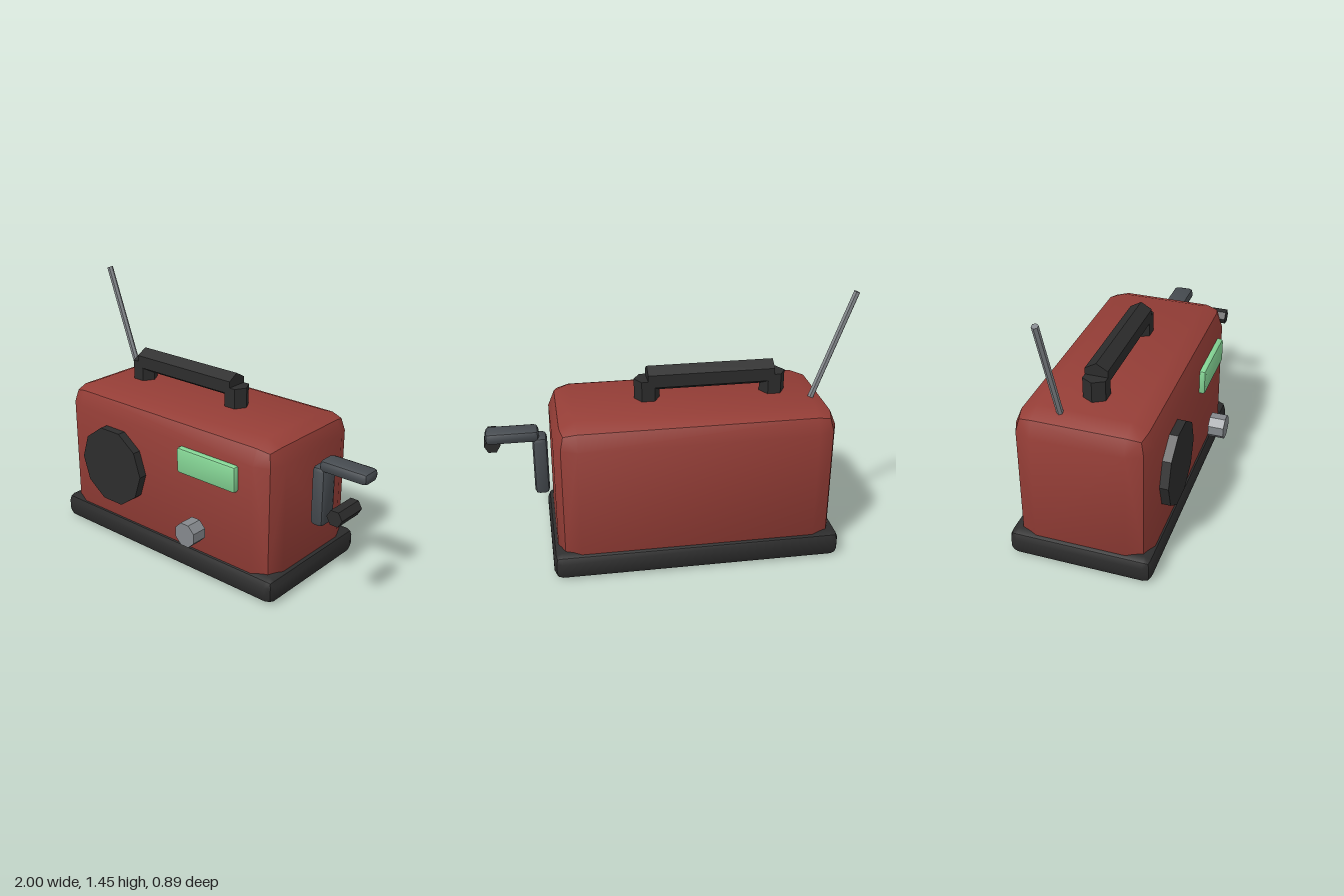
import * as THREE from 'three';
import { toCreasedNormals } from 'three/addons/utils/BufferGeometryUtils.js';
import { ConvexGeometry } from 'three/addons/geometries/ConvexGeometry.js';

function material(name, color) {
  const m = new THREE.MeshStandardMaterial({ color });
  m.name = name;
  return m;
}

// Box given by its lower and upper corners, with two-step rounded edges of radius r
function bevelBox(min, max, r) {
  const a = Math.SQRT1_2, b = 1 / Math.sqrt(3);
  const dirs = [[1, 0, 0], [0, 1, 0], [0, 0, 1], [a, a, 0], [a, 0, a], [0, a, a], [b, b, b]];
  const points = [];
  for (const sx of [-1, 1]) for (const sy of [-1, 1]) for (const sz of [-1, 1]) {
    const signs = [sx, sy, sz];
    for (const d of dirs) {
      points.push(new THREE.Vector3(...signs.map((s, i) =>
        (s > 0 ? max[i] : min[i]) - s * r + s * r * d[i])));
    }
  }
  return toCreasedNormals(new ConvexGeometry(points), 0.6);
}

// Flat-sided prism centred on the origin, standing along y
function prism(radius, length, sides, turn = Math.PI / 2) {
  const g = new THREE.CylinderGeometry(radius, radius, length, sides, 1, false, turn).toNonIndexed();
  g.computeVertexNormals();
  return g;
}

export function createModel() {
  const group = new THREE.Group();
  const red = material('red shell', 0x943d36);
  const black = material('black rubber', 0x2c2c2c);
  const silver = material('silver metal', 0x84888c);
  const slate = material('slate metal', 0x464b50);
  const green = material('green display', 0x84d494);

  const add = (name, geometry, mat, parent = group) => {
    const mesh = new THREE.Mesh(geometry, mat);
    mesh.name = name;
    parent.add(mesh);
    return mesh;
  };

  // Shell and the rubber foot around it
  add('body', bevelBox([-0.88, 0.005, -0.415], [0.63, 0.868, 0.315], 0.12), red);
  add('base', bevelBox([-0.91, 0, -0.443], [0.66, 0.145, 0.337], 0.045), black);

  // Front panel
  add('speaker', prism(0.23, 0.06, 10).rotateX(Math.PI / 2).translate(-0.472, 0.465, 0.332), black);
  add('display', bevelBox([0.022, 0.578, 0.302], [0.42, 0.724, 0.348], 0.015), green);
  add('tuningKnob', prism(0.07, 0.09, 8, Math.PI / 8).rotateX(Math.PI / 2).translate(0.165, 0.29, 0.4), silver);

  // Carrying handle
  const handle = new THREE.Group();
  handle.name = 'handle';
  group.add(handle);
  add('grip', prism(0.07, 0.69, 6).rotateZ(Math.PI / 2).translate(-0.24, 0.98, -0.05), black, handle);
  for (const side of [-1, 1]) {
    add('handlePost', prism(0.07, 0.14, 6).translate(-0.24 + side * 0.345, 0.91, -0.05), black, handle);
  }

  // Antenna leaning outwards
  const antenna = add('antenna', prism(0.0175, 0.65, 6).translate(0, -0.325, 0), silver);
  antenna.position.set(-0.984, 1.443, -0.169);
  antenna.rotation.z = THREE.MathUtils.degToRad(20);

  // Side crank
  const crank = new THREE.Group();
  crank.name = 'crank';
  group.add(crank);
  add('crankUpright', bevelBox([0.652, 0.35, -0.11], [0.732, 0.69, 0.01], 0.025), slate, crank);
  add('crankArm', bevelBox([0.695, 0.667, -0.11], [0.98, 0.735, 0.01], 0.025), slate, crank);
  add('crankKnob', prism(0.045, 0.175, 6).rotateX(Math.PI / 2).translate(0.952, 0.58, 0.15), black, crank);

  return group;
}
